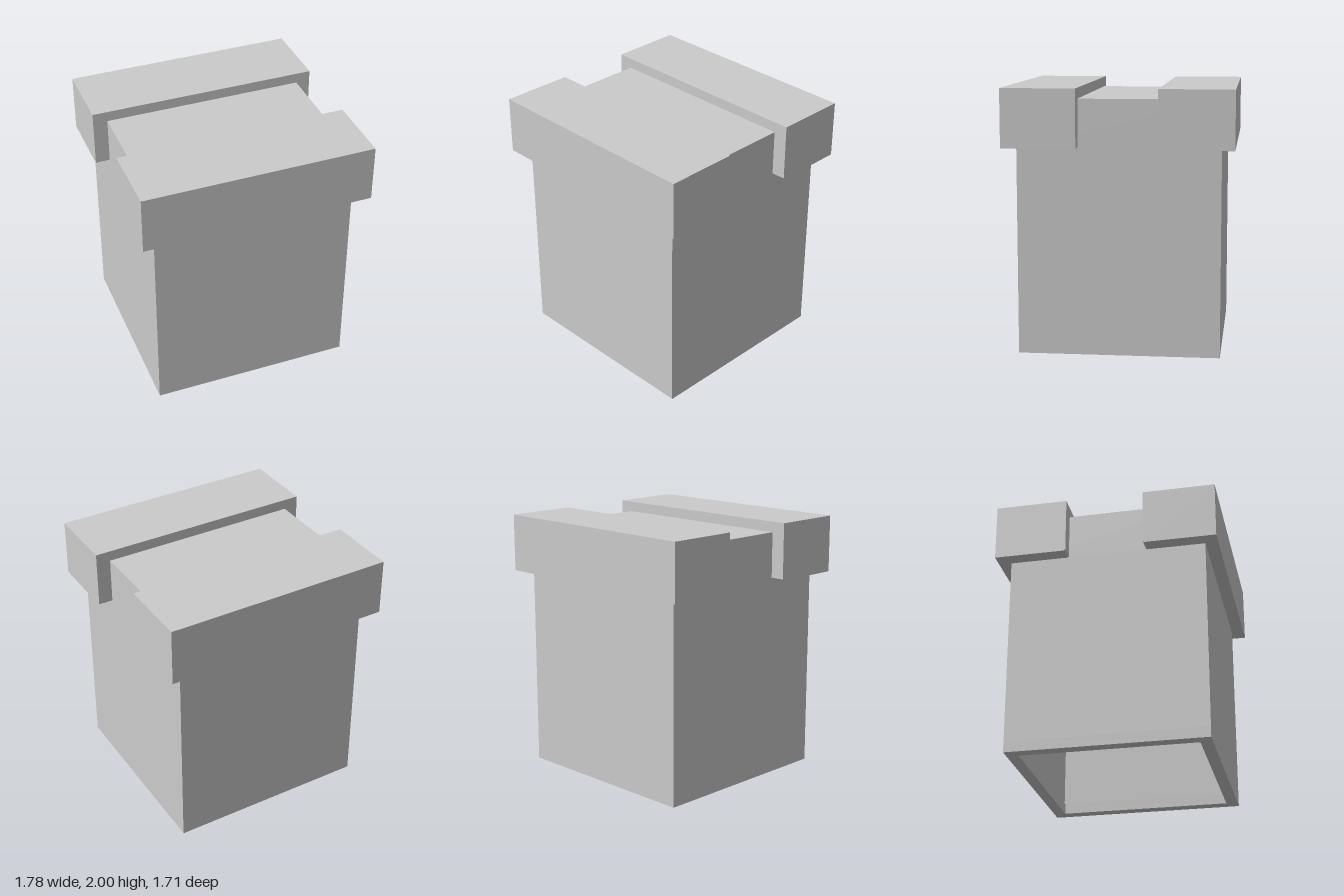
import * as THREE from 'three';

const material = new THREE.MeshStandardMaterial({ color: 0xcccccc, flatShading: true });

const W = 0.777, D = 0.757; // half width and half depth of the body
const CAP_Y = 1.56, TOP_Y = 1.92;

function rect(target, w, d) {
  target.moveTo(-w, -d);
  target.lineTo(w, -d);
  target.lineTo(w, d);
  target.lineTo(-w, d);
  target.closePath();
  return target;
}

// Open rectangular tube standing from y0 to y1
function tube(name, wall, y0, y1) {
  const shape = rect(new THREE.Shape(), W, D);
  shape.holes.push(rect(new THREE.Path(), W - wall, D - wall));
  const geometry = new THREE.ExtrudeGeometry(shape, { depth: y1 - y0, bevelEnabled: false });
  geometry.rotateX(-Math.PI / 2);
  geometry.translate(0, y0, 0);
  const mesh = new THREE.Mesh(geometry, material);
  mesh.name = name;
  return mesh;
}

// Overhanging bar along x, with a slightly clipped lower inner edge
function topBar() {
  const profile = new THREE.Shape([
    [0.31, CAP_Y], [0.855, CAP_Y], [0.855, 2], [0.3, 2], [0.3, CAP_Y + 0.01],
  ].map(([z, y]) => new THREE.Vector2(z, y)));
  const geometry = new THREE.ExtrudeGeometry(profile, { depth: 1.776, bevelEnabled: false });
  geometry.translate(0, 0, -0.888);
  geometry.rotateY(-Math.PI / 2);
  return geometry;
}

export function createModel() {
  const model = new THREE.Group();
  model.name = 'hollowBlock';

  // Hollow body, open underneath, with a slightly thicker lip at the foot
  model.add(tube('bottomLip', 0.09, 0, 0.08));
  model.add(tube('bodyWalls', 0.08, 0.08, CAP_Y));

  // Solid upper part, exposed between the two bars
  const core = new THREE.Mesh(new THREE.BoxGeometry(W * 2, TOP_Y - CAP_Y, D * 2), material);
  core.position.y = (TOP_Y + CAP_Y) / 2;
  core.name = 'topCore';
  model.add(core);

  // Front and back overhanging bars
  const bar = topBar();
  for (const [name, turn] of [['frontBar', 0], ['backBar', Math.PI]]) {
    const mesh = new THREE.Mesh(bar, material);
    mesh.rotation.y = turn;
    mesh.name = name;
    model.add(mesh);
  }
  return model;
}
